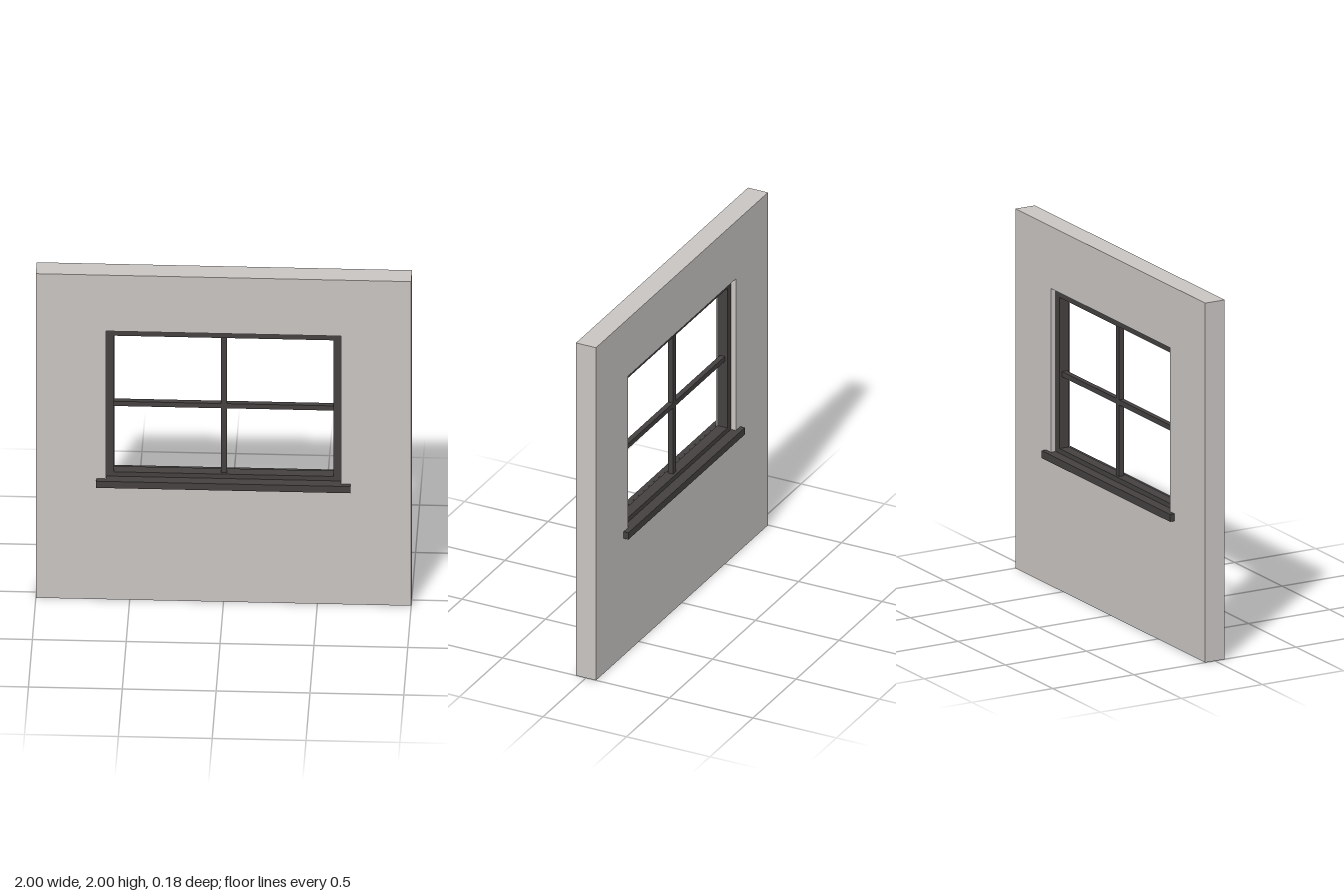
import * as THREE from 'three';

const wallMat = new THREE.MeshStandardMaterial({ color: 0xc8c4c2 });
wallMat.name = 'wall grey';
const frameMat = new THREE.MeshStandardMaterial({ color: 0x444140 });
frameMat.name = 'dark frame';

// rectangular outline, counter-clockwise
function rect(Type, x, y0, y1) {
  return new Type([[-x, y0], [x, y0], [x, y1], [-x, y1]].map(([a, b]) => new THREE.Vector2(a, b)));
}

// rectangular panel with a rectangular opening, centred on z = 0
function ring(name, outer, inner, depth, material) {
  const shape = rect(THREE.Shape, ...outer);
  shape.holes.push(rect(THREE.Path, ...inner));
  const geometry = new THREE.ExtrudeGeometry(shape, { depth, bevelEnabled: false });
  geometry.translate(0, 0, -depth / 2);
  const mesh = new THREE.Mesh(geometry, material);
  mesh.name = name;
  return mesh;
}

function box(name, w, h, d, x, y, z) {
  const mesh = new THREE.Mesh(new THREE.BoxGeometry(w, h, d), frameMat);
  mesh.name = name;
  mesh.position.set(x, y, z);
  return mesh;
}

export function createModel() {
  const model = new THREE.Group();
  model.name = 'wallWithWindow';

  // wall with its opening
  model.add(ring('wall', [1, 0, 2], [0.627, 0.728, 1.655], 0.12, wallMat));

  // frame set back inside the opening
  const window = new THREE.Group();
  window.name = 'window';
  window.add(ring('windowFrame', [0.627, 0.728, 1.655], [0.586, 0.77, 1.61], 0.06, frameMat));

  // crossing glazing bars
  window.add(box('verticalBar', 0.032, 0.84, 0.03, 0, 1.19, 0));
  for (const side of [-1, 1]) {
    window.add(box('horizontalBar', 0.57, 0.029, 0.03, side * 0.301, 1.182, 0));
  }

  // sill on each face, with a board filling the bottom of the opening
  for (const side of [-1, 1]) {
    window.add(box(side > 0 ? 'frontSill' : 'backSill', 1.355, 0.041, 0.028, 0, 0.723, side * 0.074));
    window.add(box('sillBoard', 1.254, 0.015, 0.03, 0, 0.7355, side * 0.045));
  }
  model.add(window);
  return model;
}
